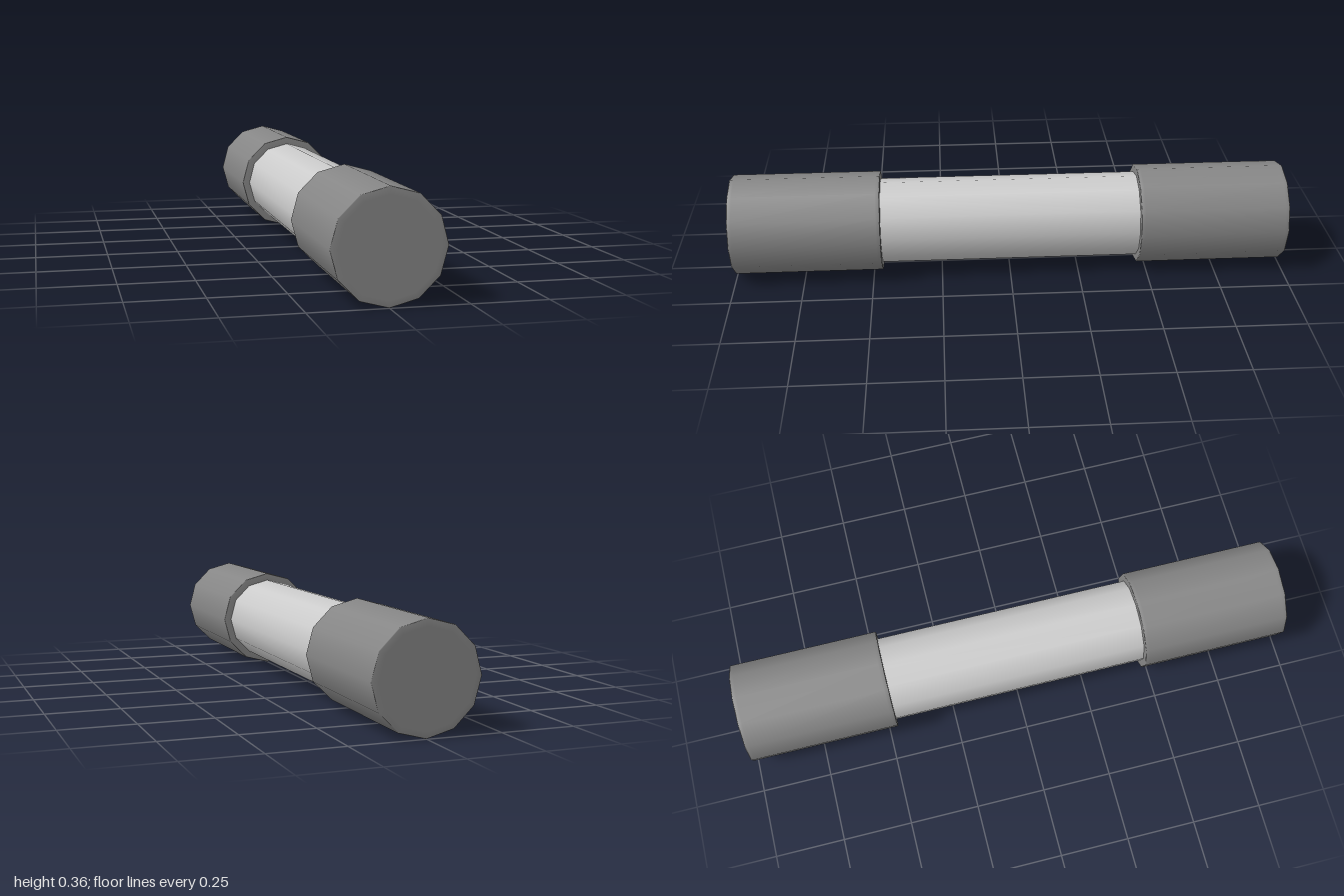
import * as THREE from 'three';

const SIDES = 12;
const AXIS_Y = 0.18;

export function createModel() {
  const model = new THREE.Group();
  const capMaterial = new THREE.MeshStandardMaterial({ color: 0x868686 });
  const tubeMaterial = new THREE.MeshStandardMaterial({ color: 0xcccccc, side: THREE.DoubleSide });

  // Cap profile along the axis: inner rim, side wall, outer rim, end disc
  const profile = [
    [0.15, 0.465], [0.178, 0.465], [0.18, 0.468], [0.18, 0.48],
    [0.18, 0.985], [0.18, 0.997], [0.178, 1], [0.157, 1], [0, 1],
  ].map(([r, d]) => new THREE.Vector2(r, d));
  const capGeometry = new THREE.LatheGeometry(profile, SIDES);

  // One metal cap on each end
  for (const [name, side] of [['frontCap', 1], ['backCap', -1]]) {
    const cap = new THREE.Mesh(capGeometry, capMaterial);
    cap.name = name;
    cap.rotation.x = side * Math.PI / 2;
    cap.position.y = AXIS_Y;
    model.add(cap);
  }

  // Open glass tube reaching a little way into both caps
  const tube = new THREE.Mesh(
    new THREE.CylinderGeometry(0.153, 0.153, 1, SIDES, 1, true), tubeMaterial);
  tube.name = 'glassTube';
  tube.rotation.x = Math.PI / 2;
  tube.position.y = AXIS_Y;
  model.add(tube);

  return model;
}
